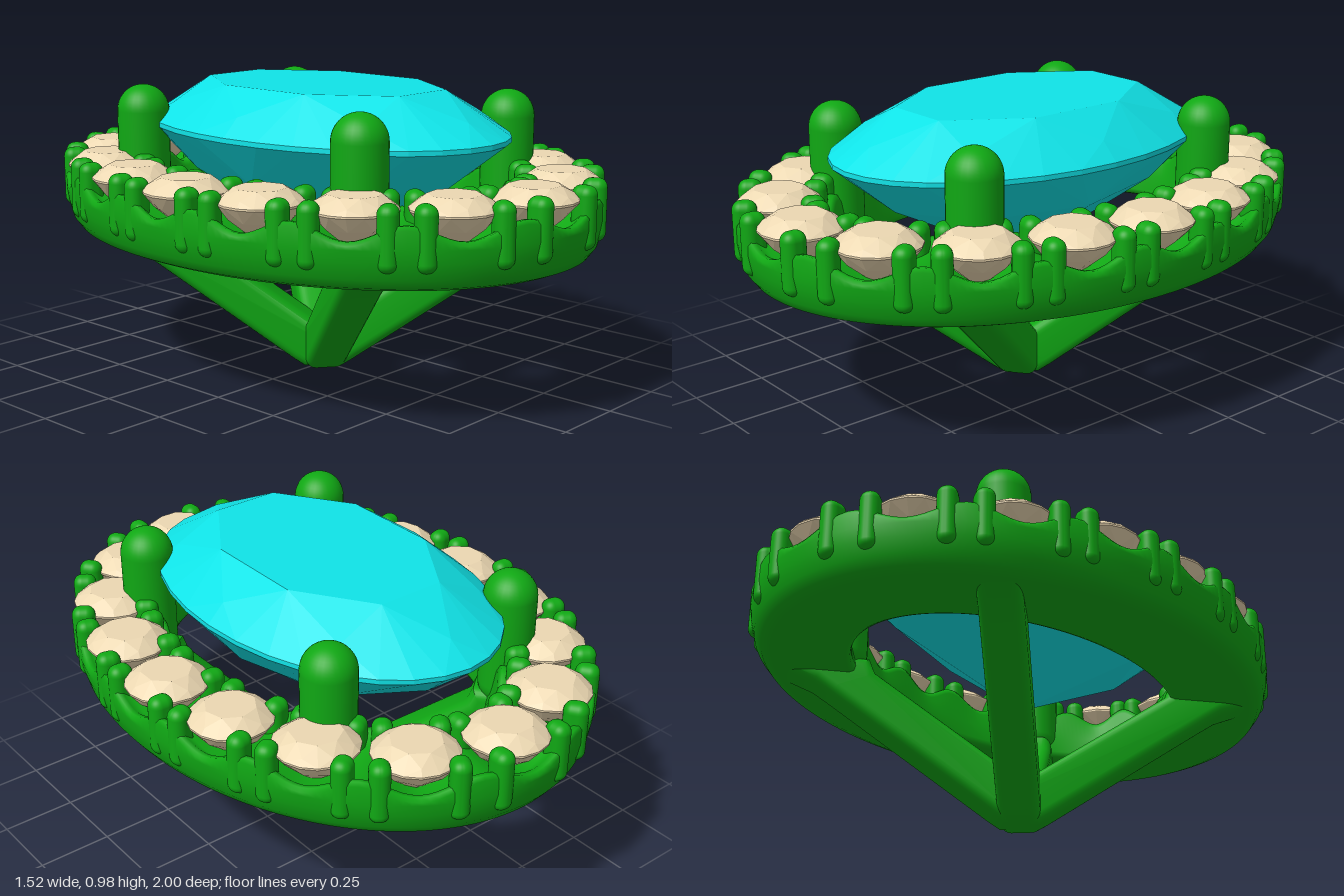
import * as THREE from 'three';
import { toCreasedNormals } from 'three/addons/utils/BufferGeometryUtils.js';
import { RoundedBoxGeometry } from 'three/addons/geometries/RoundedBoxGeometry.js';
import { ConvexGeometry } from 'three/addons/geometries/ConvexGeometry.js';

const STONES = 16;
const metal = new THREE.MeshStandardMaterial({ color: 0x10a814 });
const centreGem = new THREE.MeshStandardMaterial({ color: 0x10e4e8, flatShading: true });
const haloGem = new THREE.MeshStandardMaterial({ color: 0xecd8b2, flatShading: true });

// Centre line of the halo, with its outward normal
const line = new THREE.EllipseCurve(0, 0, 0.62, 0.86, 0, Math.PI * 2);
line.arcLengthDivisions = 800;
function frame(u) {
  const p = line.getPointAt(u);
  const t = line.getTangentAt(u);
  return { x: p.x, z: p.y, nx: t.y, nz: -t.x };
}

function add(parent, name, geometry, material) {
  const mesh = new THREE.Mesh(geometry, material);
  mesh.name = name;
  parent.add(mesh);
  return mesh;
}

// Brilliant cut: hull of table, crown, girdle, pavilion and culet rings
function gemGeometry(rx, rz, table, girdle, culet, girdleHalf, tableRatio, sides) {
  const pts = [];
  const ring = (n, ratio, y, shift) => {
    for (let i = 0; i < n; i++) {
      const a = ((i + shift) / n) * Math.PI * 2;
      pts.push(new THREE.Vector3(Math.cos(a) * rx * ratio, y, Math.sin(a) * rz * ratio));
    }
  };
  ring(8, tableRatio, table, 0.5);
  ring(8, 0.87, girdle + (table - girdle) * 0.46, 0);
  ring(sides, 1, girdle + girdleHalf, 0);
  ring(sides, 1, girdle - girdleHalf, 0);
  ring(8, 0.74, culet + (girdle - culet) * 0.62, 0);
  pts.push(new THREE.Vector3(0, culet, 0));
  return new ConvexGeometry(pts);
}

// Halo body: a closed section swept round the oval, scalloped at each stone
function haloGeometry() {
  const segments = STONES * 14;
  const pos = [], index = [];
  let n = 0;
  for (let i = 0; i < segments; i++) {
    const u = i / segments;
    const f = frame(u);
    const s = 0.5 - 0.5 * Math.cos(u * STONES * Math.PI * 2);
    const rim = 0.62 + 0.05 * s;
    const floor = 0.6 + 0.05 * s;
    const section = [
      [-0.19, 0.5], [-0.185, 0.482], [-0.17, 0.475], [0.05, 0.475], [0.07, 0.477],
      [0.1, 0.49], [0.122, 0.52], [0.135, 0.57], [0.141, 0.61], [0.14, rim],
      [0.132, rim + 0.012], [0.115, rim + 0.01], [0.08, floor], [-0.09, floor],
      [-0.13, rim + 0.01], [-0.155, rim + 0.01], [-0.166, rim - 0.01], [-0.178, 0.56],
    ];
    n = section.length;
    for (const [d, y] of section) pos.push(f.x + f.nx * d, y, f.z + f.nz * d);
  }
  for (let i = 0; i < segments; i++) {
    const next = (i + 1) % segments;
    for (let j = 0; j < n; j++) {
      const k = (j + 1) % n;
      const a = i * n + j, b = i * n + k, c = next * n + k, d = next * n + j;
      index.push(a, b, c, a, c, d);
    }
  }
  const g = new THREE.BufferGeometry();
  g.setAttribute('position', new THREE.Float32BufferAttribute(pos, 3));
  g.setIndex(index);
  g.computeVertexNormals();
  return g;
}

// V-shaped strut with rounded edges, flaring where it meets the halo
function strutGeometry() {
  const half = [[0.06, 0], [0.1, 0.025], [0.64, 0.4], [0.7, 0.44], [0.8, 0.48], [0.8, 0.54], [0.52, 0.54], [0.5, 0.49]];
  const shape = new THREE.Shape();
  shape.moveTo(-half[0][0], half[0][1]);
  for (const [d, y] of half) shape.lineTo(d, y);
  shape.lineTo(0, 0.146);
  for (const [d, y] of half.slice(1).reverse()) shape.lineTo(-d, y);
  shape.closePath();
  const r = 0.035;
  const g = new THREE.ExtrudeGeometry(shape, {
    depth: 0.14 - 2 * r, bevelThickness: r, bevelSize: r, bevelOffset: -r, bevelSegments: 5,
  });
  g.translate(0, 0, -(0.14 - 2 * r) / 2);
  return toCreasedNormals(g, 0.7);
}

export function createModel() {
  const model = new THREE.Group();
  model.name = 'ovalHaloSetting';

  add(model, 'haloBody', haloGeometry(), metal);
  add(model, 'centreStone', gemGeometry(0.46, 0.7, 0.98, 0.835, 0.415, 0.008, 0.66, 32), centreGem);

  // Halo stones, each held by four small claws
  const stone = gemGeometry(0.135, 0.135, 0.745, 0.7, 0.57, 0.003, 0.6, 16);
  const claw = new RoundedBoxGeometry(0.078, 0.2, 0.064, 4, 0.03);
  for (let i = 0; i < STONES; i++) {
    const f = frame(i / STONES);
    const setting = new THREE.Group();
    setting.name = 'haloSetting';
    setting.position.set(f.x, 0, f.z);
    setting.rotation.y = -Math.atan2(f.nz, f.nx);
    model.add(setting);
    add(setting, 'haloStone', stone, haloGem);
    for (const side of [-1, 1]) {
      add(setting, 'outerClaw', claw, metal).position.set(0.1, 0.64, side * 0.115);
      add(setting, 'innerClaw', claw, metal).position.set(-0.11, 0.64, side * 0.085);
    }
  }

  // Four large prongs around the centre stone
  const prong = new THREE.CapsuleGeometry(0.088, 0.31, 12, 28);
  for (const x of [-0.37, 0.37]) {
    for (const z of [-0.49, 0.49]) add(model, 'prong', prong, metal).position.set(x, 0.722, z);
  }

  // Two crossed struts forming the basket
  const strut = strutGeometry();
  for (const side of [-1, 1]) add(model, 'basketStrut', strut, metal).rotation.y = side * Math.atan2(0.49, 0.37);

  return model;
}
